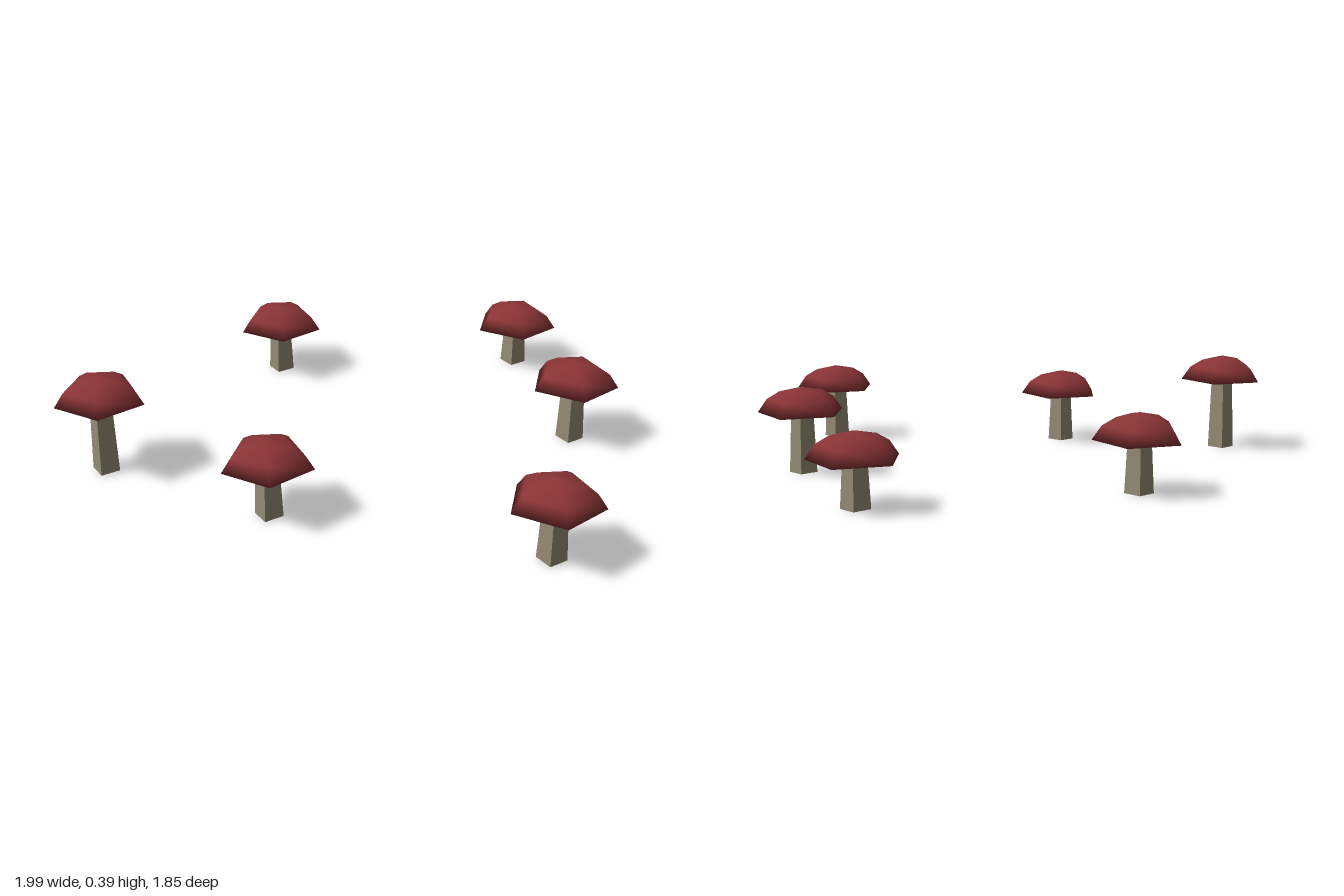
import * as THREE from 'three';

export function createModel() {
  const group = new THREE.Group();
  const capRed = new THREE.MeshStandardMaterial({ color: 0x8a3436 });
  capRed.name = 'capRed';
  const stemBeige = new THREE.MeshStandardMaterial({ color: 0x938a74, flatShading: true });
  stemBeige.name = 'stemBeige';

  // Five-sided cap, smooth over a shallow closed dome, one corner towards +x
  const profile = [[0, -0.008], [0.171, 0], [0.135, 0.052], [0.085, 0.082], [0, 0.1]]
    .map(([r, y]) => new THREE.Vector2(r, y));
  const capGeometry = new THREE.LatheGeometry(profile, 5, Math.PI / 2);

  // x, z and total height of each mushroom
  const spots = [
    [-0.86, 0.5, 0.39],
    [-0.44, -0.49, 0.293],
    [0.535, -0.765, 0.27],
    [0.825, -0.11, 0.332],
    [-0.178, 0.685, 0.304],
    [0.825, 0.76, 0.316],
  ];

  for (const [x, z, top] of spots) {
    const mushroom = new THREE.Group();
    mushroom.name = 'mushroom';
    mushroom.position.set(x, 0, z);

    const base = top - 0.1;
    // Square tapered stem, corners on the axes
    const stem = new THREE.Mesh(new THREE.CylinderGeometry(0.043, 0.053, base, 4), stemBeige);
    stem.name = 'stem';
    stem.position.y = base / 2;

    // Cap leaning back very slightly
    const cap = new THREE.Mesh(capGeometry, capRed);
    cap.name = 'cap';
    cap.position.y = base;
    cap.rotation.x = -0.03;

    mushroom.add(stem, cap);
    group.add(mushroom);
  }
  return group;
}
